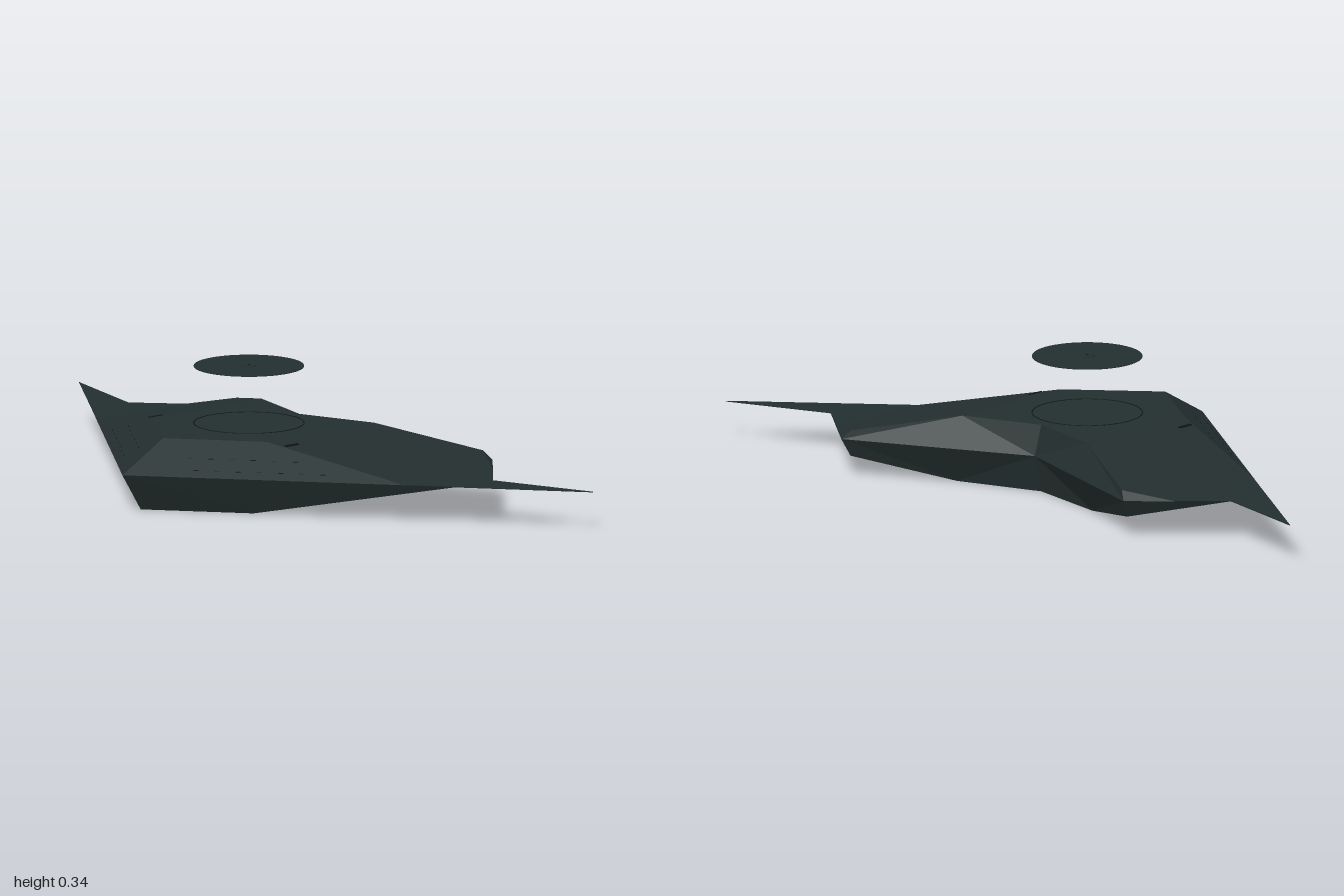
import * as THREE from 'three';

const hullMat = new THREE.MeshStandardMaterial({ color: 0x232e2e, flatShading: true, side: THREE.DoubleSide });
hullMat.name = 'dark slate hull';
const lineMat = new THREE.MeshStandardMaterial({ color: 0x0e1414 });
lineMat.name = 'black detail';

// Left half of a hull shell: named corners, then faces as corner loops
const upper = {
  nose: [0, 0.1, 0.43], lead: [0.6, 0.1, -0.026], outer: [0.6, 0.1, -0.34],
  tail: [0.5, 0.1, -0.43], notch: [0, 0.1, -0.225],
  deckNose: [0, 0.18, 0.285], deckSide: [0.22, 0.18, 0.118],
  deckBack: [0.22, 0.18, -0.265], deckNotch: [0, 0.18, -0.2], shoulder: [0.48, 0.124, -0.415],
};
const lower = {
  nose: [0, 0.1, 0.43], lead: [0.71, 0.1, -0.11], outer: [0.71, 0.1, -0.24],
  tail: [0.5, 0.1, -0.43], notch: [0, 0.1, -0.225],
  deckNose: [0, 0, 0.365], deckSide: [0.24, 0, 0.183],
  deckBack: [0.24, 0, -0.265], deckNotch: [0, 0, -0.2], shoulder: [0.49, 0.052, -0.405],
};
const faces = [
  ['deckNose', 'deckSide', 'deckBack', 'deckNotch'],
  ['nose', 'lead', 'deckSide', 'deckNose'],
  ['deckSide', 'lead', 'outer', 'shoulder', 'deckBack'],
  ['shoulder', 'outer', 'tail'],
  ['deckBack', 'shoulder', 'tail', 'notch', 'deckNotch'],
];

// Fans the faces into triangles, mirrors them and turns each one outwards
function shellGeometry(corners) {
  const pos = [];
  for (const s of [1, -1]) {
    const inside = new THREE.Vector3(s * 0.25, 0.09, -0.1);
    for (const face of faces) {
      const p = face.map((n) => new THREE.Vector3(...corners[n]).multiply(new THREE.Vector3(s, 1, 1)));
      for (let i = 1; i < p.length - 1; i++) {
        let [a, b, c] = [p[0], p[i], p[i + 1]];
        const normal = b.clone().sub(a).cross(c.clone().sub(a));
        if (normal.dot(a.clone().sub(inside)) < 0) [b, c] = [c, b];
        for (const v of [a, b, c]) pos.push(v.x, v.y, v.z);
      }
    }
  }
  const g = new THREE.BufferGeometry();
  g.setAttribute('position', new THREE.Float32BufferAttribute(pos, 3));
  g.computeVertexNormals();
  return g;
}

export function createModel() {
  const model = new THREE.Group();
  model.name = 'flyingWing';
  const add = (name, geo, mat, x = 0, y = 0, z = 0) => {
    const m = new THREE.Mesh(geo, mat);
    m.name = name;
    m.position.set(x, y, z);
    model.add(m);
    return m;
  };

  add('upperHull', shellGeometry(upper), hullMat);
  add('lowerHull', shellGeometry(lower), hullMat);

  // Blade-thin wing tips
  for (const s of [1, -1]) {
    const shape = new THREE.Shape([[0.59, -0.02], [1, -0.33], [0.71, -0.24], [0.59, -0.345]]
      .map(([x, z]) => new THREE.Vector2(s * x, -z)));
    const geo = new THREE.ExtrudeGeometry(shape, { depth: 0.002, bevelEnabled: false });
    geo.rotateX(-Math.PI / 2);
    add(s > 0 ? 'leftWingTip' : 'rightWingTip', geo, hullMat, 0, 0.099, 0);
  }

  // Floating dish with its hub, and matching rings on the deck and belly
  const cz = -0.02;
  add('floatingDish', new THREE.CylinderGeometry(0.145, 0.145, 0.002, 64), hullMat, 0, 0.333, cz);
  add('dishBoss', new THREE.CylinderGeometry(0.02, 0.02, 0.002, 24), hullMat, 0, 0.335, cz);
  add('dishPin', new THREE.CylinderGeometry(0.004, 0.004, 0.001, 12), lineMat, 0, 0.3365, cz);
  for (const [name, y] of [['deckRing', 0.18], ['bellyRing', 0.001]]) {
    const ring = new THREE.TorusGeometry(0.145, 0.0015, 6, 64).rotateX(Math.PI / 2);
    add(name, ring, lineMat, 0, y, cz);
  }

  // Rows of small slits along the leading bevels, and vents on the wing slopes
  for (const s of [1, -1]) {
    const along = new THREE.Vector3(s * 0.6, 0, -0.456).normalize();
    const across = new THREE.Vector3(0, 0.08, -0.145);
    across.addScaledVector(along, -across.dot(along)).normalize();
    const out = along.clone().cross(across).multiplyScalar(s).normalize();
    const basis = new THREE.Matrix4().makeBasis(along, across, out.clone().multiplyScalar(s));
    for (const [t, from, to] of [[0.5, 0.1, 0.33], [0.19, 0.14, 0.44]]) {
      for (let x = from; x < to; x += 0.045) {
        const z = 0.43 - 0.76 * x - 0.145 * t;
        const slit = add('bevelSlit', new THREE.BoxGeometry(0.014, 0.002, 0.002), lineMat, s * x, 0.1 + 0.08 * t, z);
        slit.quaternion.setFromRotationMatrix(basis);
      }
    }
    const vent = add('wingVent', new THREE.BoxGeometry(0.008, 0.003, 0.045), lineMat, s * 0.265, 0.171, 0.07);
    vent.rotation.z = -s * 0.2;
  }
  return model;
}
